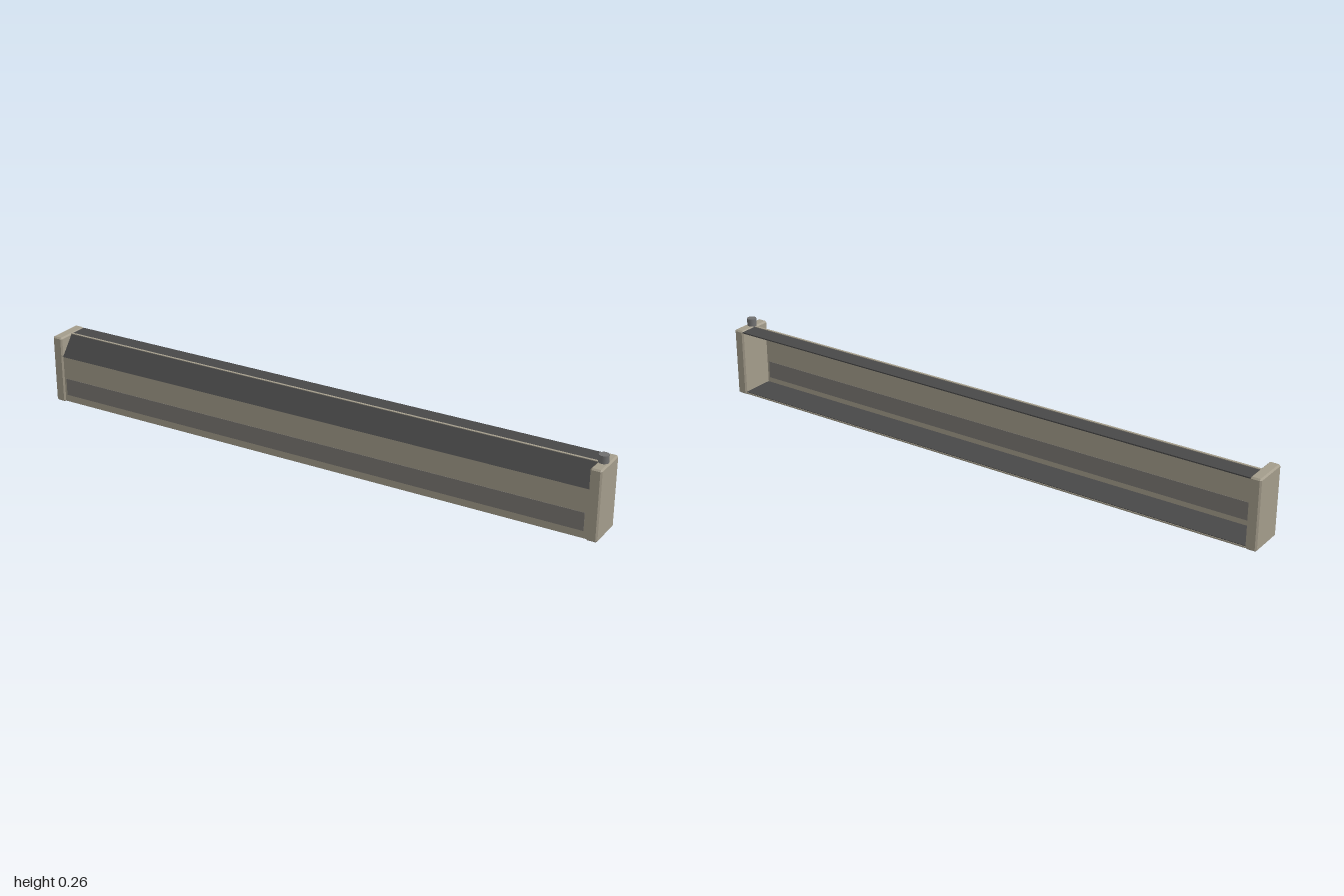
import * as THREE from 'three';
import { ConvexGeometry } from 'three/addons/geometries/ConvexGeometry.js';

const mat = (name, color) => Object.assign(new THREE.MeshStandardMaterial({ color }), { name });

// Box with flat chamfers on every edge
function chamferBox(w, h, d, c) {
  const half = [w / 2, h / 2, d / 2];
  const points = [];
  for (const x of [-1, 1]) for (const y of [-1, 1]) for (const z of [-1, 1]) {
    for (let full = 0; full < 3; full++) {
      const p = [x, y, z].map((s, i) => s * (half[i] - (i === full ? 0 : c)));
      points.push(new THREE.Vector3(...p));
    }
  }
  return new ConvexGeometry(points);
}

export function createModel() {
  const tan = mat('tan housing', 0xa39c8b);
  const dark = mat('charcoal cover', 0x484848);
  const grey = mat('grey strip', 0x7a7772);
  const steel = mat('grey knob', 0x707070);
  const model = new THREE.Group();
  model.name = 'longHousing';

  const add = (name, geometry, material, x, y, z) => {
    const mesh = new THREE.Mesh(geometry, material);
    mesh.name = name;
    mesh.position.set(x, y, z);
    model.add(mesh);
    return mesh;
  };
  const box = (name, material, w, h, d, x, y, z) =>
    add(name, new THREE.BoxGeometry(w, h, d), material, x, y, z);

  // Chamfered end caps
  for (const side of [-1, 1]) {
    add(side > 0 ? 'leftEndCap' : 'rightEndCap', chamferBox(0.037, 0.235, 0.126, 0.005), tan, side * 0.9815, 0.1175, 0);
  }

  // Thin shell: front wall and floor, open at the back
  const length = 1.93;
  box('frontWall', tan, length, 0.163, 0.004, 0, 0.0855, 0.056);
  box('floor', tan, length, 0.005, 0.119, 0, 0.0055, -0.0015);
  box('floorLining', dark, length, 0.002, 0.112, 0, 0.009, -0.003);

  // Grey strip shown on both faces of the front wall
  box('frontStrip', grey, 1.91, 0.06, 0.006, 0, 0.057, 0.056);

  // Sloped front cover and flat top as one folded sheet
  const fold = new THREE.Shape([
    [0.060, 0.166], [0.008, 0.232], [-0.061, 0.232],
    [-0.061, 0.228], [0.006, 0.228], [0.055, 0.166],
  ].map(([z, y]) => new THREE.Vector2(-z, y)));
  const cover = new THREE.ExtrudeGeometry(fold, { depth: length, bevelEnabled: false });
  cover.rotateY(Math.PI / 2);
  add('foldedCover', cover, dark, -length / 2, 0, 0);

  // Pale bead along the fold
  box('ridgeBead', tan, length, 0.003, 0.008, 0, 0.2325, 0.003);

  // Fine ribs under the slope
  const ribGeometry = new THREE.BoxGeometry(0.003, 0.07, 0.002);
  for (let i = 0; i < 17; i++) {
    const rib = add('coverRib', ribGeometry, dark, (i - 8) * 0.109, 0.197, 0.030);
    rib.rotation.x = -Math.atan2(0.049, 0.062);
  }

  // Adjusting knob on one cap
  add('knob', new THREE.CylinderGeometry(0.016, 0.016, 0.028, 20), steel, 0.98, 0.246, 0.004);

  return model;
}
